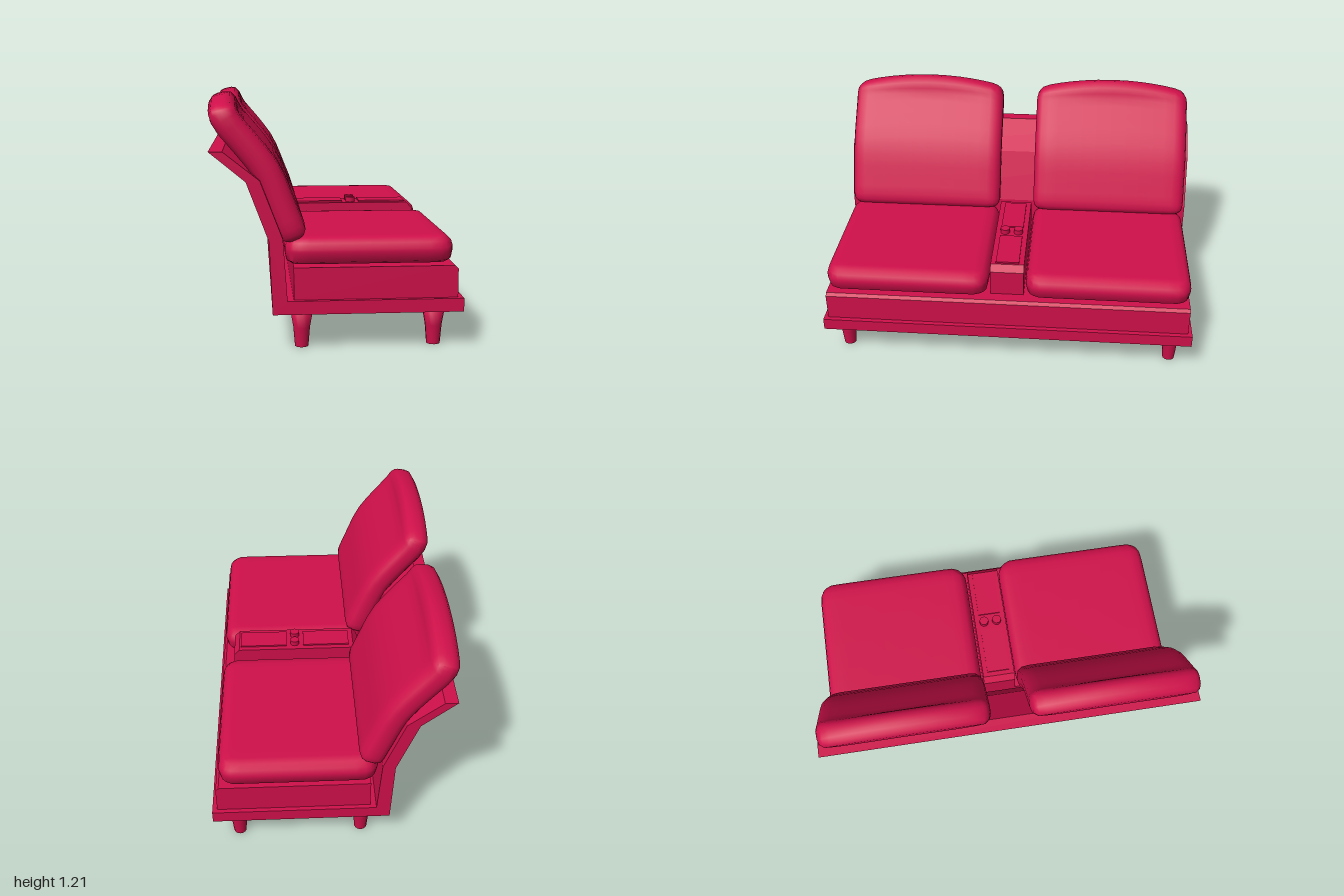
import * as THREE from 'three';
import { mergeVertices } from 'three/addons/utils/BufferGeometryUtils.js';

const material = new THREE.MeshStandardMaterial({ color: 0xcf104a });

function part(name, geometry, parent) {
  const mesh = new THREE.Mesh(geometry, material);
  mesh.name = name;
  parent.add(mesh);
  return mesh;
}

// Side profile in x/y, extruded symmetrically along z
function slab(points, width) {
  const shape = new THREE.Shape(points.map(([x, y]) => new THREE.Vector2(x, y)));
  const geo = new THREE.ExtrudeGeometry(shape, { depth: width, bevelEnabled: false });
  return geo.translate(0, 0, -width / 2);
}

// Soft pad: half sizes hu (x), ht (y), hv (z); R rounds the outline,
// rTop and rBottom round the rims; place(u, t, v, target) sets the final position
function pad(hu, ht, hv, R, rTop, rBottom, rim, place) {
  const geo = new THREE.BoxGeometry(2, 2, 2, 16, 2, 16);
  geo.deleteAttribute('uv');
  geo.deleteAttribute('normal');
  const merged = mergeVertices(geo);
  const pos = merged.attributes.position;
  const p = new THREE.Vector3();
  for (let i = 0; i < pos.count; i++) {
    p.fromBufferAttribute(pos, i);
    // crowd the grid towards the edges
    let u = Math.sin(p.x * Math.PI / 2) * hu;
    let v = Math.sin(p.z * Math.PI / 2) * hv;
    const edge = Math.max(0, Math.min(hu - Math.abs(u), hv - Math.abs(v)));
    // round the corners of the outline
    const cu = THREE.MathUtils.clamp(u, R - hu, hu - R);
    const cv = THREE.MathUtils.clamp(v, R - hv, hv - R);
    const du = u - cu, dv = v - cv, len = Math.hypot(du, dv);
    if (len > 1e-6) {
      const k = Math.max(Math.abs(du), Math.abs(dv)) / len;
      u = cu + du * k;
      v = cv + dv * k;
    }
    // round the rim
    const f = Math.max(0, 1 - edge / (p.y > 0 ? rTop : rBottom));
    const t = p.y * ht * (rim + (1 - rim) * Math.sqrt(1 - f * f));
    place(u, t, v, p);
    pos.setXYZ(i, p.x, p.y, p.z);
  }
  merged.computeVertexNormals();
  return merged;
}

export function createModel() {
  const sofa = new THREE.Group();
  sofa.name = 'sofa';

  // Bottom board and bent back panel in one profile
  part('frame', slab([
    [-0.3, 0.18], [0.61, 0.18], [0.61, 0.245], [-0.23, 0.245], [-0.25, 0.54],
    [-0.355, 0.815], [-0.525, 0.95], [-0.59, 0.95], [-0.42, 0.81], [-0.315, 0.53],
  ], 2), sofa);

  // Seat base
  part('seatBase', slab([
    [-0.2, 0.245], [0.585, 0.245], [0.585, 0.385], [0.57, 0.4], [-0.2, 0.4],
  ], 1.955), sofa);

  // Seat and back cushions, one pair per side
  const seatGeo = pad(0.405, 0.065, 0.44, 0.09, 0.055, 0.025, 0.15,
    (u, t, v, out) => out.set(u, t, v));

  const spine = new THREE.CatmullRomCurve3([
    [-0.187, 0.522], [-0.245, 0.67], [-0.322, 0.85], [-0.42, 0.98], [-0.515, 1.1], [-0.54, 1.21],
  ].map(([x, y]) => new THREE.Vector3(x, y, 0)));
  const hu = 0.39, hv = 0.44;
  const backGeo = pad(hu, 0.068, hv, 0.06, 0.06, 0.05, 0.3, (u, t, v, out) => {
    // crowned top edge, then bend along the spine
    const s = THREE.MathUtils.clamp((hu - u) / (2 * hu), 0, 1) * (1 - 0.075 * (v / hv) ** 2);
    const c = spine.getPointAt(s), d = spine.getTangentAt(s);
    out.set(c.x + d.y * t, c.y - d.x * t, v);
  });
  for (const side of [-1, 1]) {
    part('seatCushion', seatGeo, sofa).position.set(0.165, 0.475, side * 0.54);
    part('backCushion', backGeo, sofa).position.z = side * 0.54;
  }

  // Centre console with two lids and two knobs
  const console_ = new THREE.Group();
  console_.name = 'console';
  sofa.add(console_);
  part('consoleBody', slab([
    [-0.2, 0.4], [0.51, 0.4], [0.51, 0.54], [0.48, 0.573], [-0.17, 0.573], [-0.2, 0.54],
  ], 0.18), console_);
  for (const x of [-0.015, 0.34]) {
    part('consoleLid', new THREE.BoxGeometry(0.26, 0.02, 0.125), console_).position.set(x, 0.571, 0);
  }
  for (const z of [-0.037, 0.037]) {
    part('knob', new THREE.CylinderGeometry(0.026, 0.026, 0.04, 10), console_).position.set(0.163, 0.58, z);
  }

  // Tapered legs
  const legGeo = new THREE.LatheGeometry(
    [[0, 0], [0.033, 0], [0.033, 0], [0.041, 0.095], [0.056, 0.18], [0, 0.18]]
      .map(([r, y]) => new THREE.Vector2(r, y)), 14);
  for (const x of [-0.16, 0.482]) {
    for (const z of [-0.9, 0.9]) part('leg', legGeo, sofa).position.set(x, 0, z);
  }
  return sofa;
}
